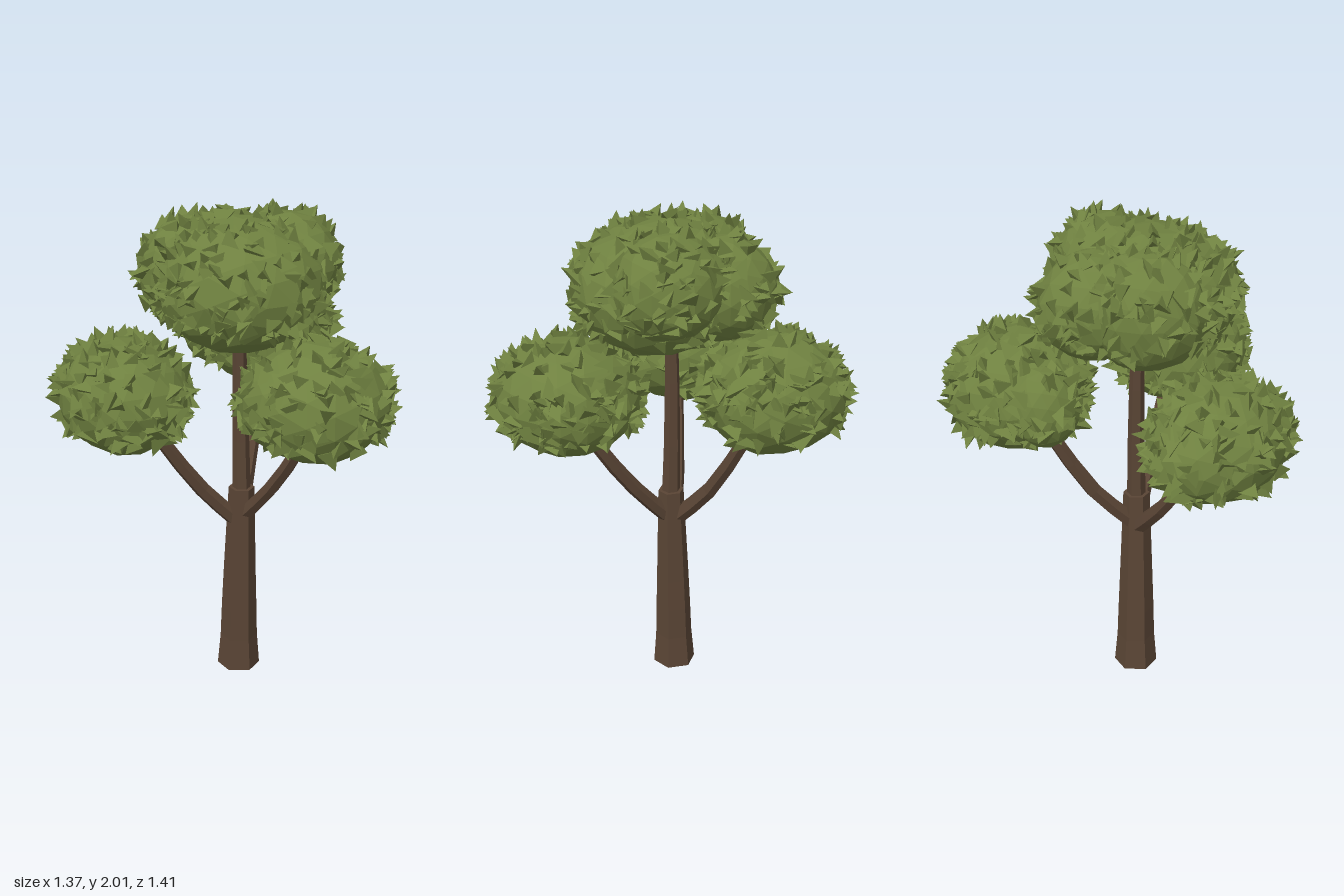
import * as THREE from 'three';
import { mergeGeometries } from 'three/addons/utils/BufferGeometryUtils.js';

// Small seeded random generator
function seeded(seed) {
  let s = seed;
  return () => {
    s = (s * 1664525 + 1013904223) % 4294967296;
    return s / 4294967296;
  };
}

const UP = new THREE.Vector3(0, 1, 0);

// Tapered limb: a capped cylinder bent along a curve
function limbGeometry(points, radii, sides, rows) {
  const curve = new THREE.CatmullRomCurve3(points.map((p) => new THREE.Vector3(...p)));
  const geo = new THREE.CylinderGeometry(1, 1, 1, sides, rows, false, Math.PI / 12);
  const pos = geo.attributes.position;
  const v = new THREE.Vector3();
  const q = new THREE.Quaternion();
  for (let i = 0; i < pos.count; i++) {
    v.fromBufferAttribute(pos, i);
    const t = THREE.MathUtils.clamp(v.y + 0.5, 0, 1);
    const f = t * (radii.length - 1);
    const k = Math.min(Math.floor(f), radii.length - 2);
    const r = THREE.MathUtils.lerp(radii[k], radii[k + 1], f - k);
    q.setFromUnitVectors(UP, curve.getTangent(t));
    v.set(v.x * r, 0, v.z * r).applyQuaternion(q).add(curve.getPoint(t));
    pos.setXYZ(i, v.x, v.y, v.z);
  }
  geo.computeVertexNormals();
  return geo;
}

// Faceted leaf mass: a lumpy ellipsoid covered in broad pointed leaves, bare underneath
function foliageGeometry({ radii, leaves, seed }) {
  const rnd = seeded(seed);
  const scale = new THREE.Vector3(...radii);
  const surface = (d) => {
    const lump = 1 + 0.03 * Math.sin(d.x * 4 + seed) * Math.cos(d.z * 4 + seed * 2);
    return d.clone().multiply(scale).multiplyScalar(lump);
  };

  const core = new THREE.IcosahedronGeometry(1, 2);
  const pos = core.attributes.position;
  const d = new THREE.Vector3();
  for (let i = 0; i < pos.count; i++) {
    const p = surface(d.fromBufferAttribute(pos, i).normalize());
    pos.setXYZ(i, p.x, p.y, p.z);
  }
  const parts = [core];

  const q = new THREE.Quaternion();
  const m = new THREE.Matrix4();
  for (let n = 0; n < leaves; n++) {
    const y = -0.55 + 1.53 * rnd();
    const a = rnd() * Math.PI * 2;
    const ring = Math.sqrt(1 - y * y);
    d.set(ring * Math.cos(a), y, ring * Math.sin(a));
    const base = surface(d).multiplyScalar(0.96);
    const tilt = new THREE.Vector3(rnd() - 0.5, rnd() - 0.5, rnd() - 0.5).multiplyScalar(1.7);
    const dir = d.clone().divide(scale).normalize().add(tilt).normalize();
    q.setFromUnitVectors(UP, dir);
    const w = 0.036 + 0.018 * rnd();
    const h = 0.05 + 0.035 * rnd();
    const leaf = new THREE.ConeGeometry(1, 1, 3, 1, false, rnd() * 6).toNonIndexed();
    leaf.translate(0, 0.3, 0);
    leaf.applyMatrix4(m.compose(base, q, new THREE.Vector3(w, h, w * 0.85)));
    parts.push(leaf);
  }
  const merged = mergeGeometries(parts);
  merged.computeVertexNormals();
  return merged;
}

export function createModel() {
  const tree = new THREE.Group();
  tree.name = 'tree';

  const bark = new THREE.MeshStandardMaterial({ color: 0x5a4535, flatShading: true });
  bark.name = 'bark brown';
  const leafGreen = new THREE.MeshStandardMaterial({ color: 0x6f8140, flatShading: true });
  leafGreen.name = 'leaf green';

  const add = (name, geo, mat) => {
    const mesh = new THREE.Mesh(geo, mat);
    mesh.name = name;
    tree.add(mesh);
    return mesh;
  };

  // Trunk, its thinner upper stem and the three branches
  const limbs = [
    ['trunk', [[-0.104, 0, 0.012], [-0.095, 0.41, 0.012], [-0.083, 0.82, 0.01]],
      [0.088, 0.077, 0.073, 0.068, 0.063, 0.058, 0.053], 6, 6],
    ['upperStem', [[-0.083, 0.78, 0.01], [-0.088, 1.15, 0.01], [-0.085, 1.6, 0.02]],
      [0.038, 0.032, 0.025], 6, 3],
    ['leftBranch', [[-0.08, 0.69, 0.01], [0.08, 0.86, 0.015], [0.24, 1.08, 0.03], [0.33, 1.25, 0.05]],
      [0.034, 0.03, 0.024], 6, 6],
    ['frontBranch', [[-0.1, 0.67, 0.02], [-0.18, 0.82, 0.14], [-0.26, 1.06, 0.29], [-0.31, 1.22, 0.37]],
      [0.036, 0.031, 0.024], 6, 6],
    ['backBranch', [[-0.1, 0.69, 0], [-0.18, 0.86, -0.14], [-0.25, 1.13, -0.29], [-0.29, 1.28, -0.36]],
      [0.036, 0.031, 0.024], 6, 6],
  ];
  for (const [name, points, radii, sides, rows] of limbs) {
    add(name, limbGeometry(points, radii, sides, rows), bark);
  }

  // Leaf masses: a large crown with three lobes, and one mass on each branch
  const masses = [
    { name: 'crownFoliage', at: [-0.045, 1.695, 0.055], radii: [0.345, 0.265, 0.34], leaves: 280, seed: 3 },
    { name: 'crownRightLobe', at: [-0.26, 1.715, 0.09], radii: [0.195, 0.23, 0.24], leaves: 110, seed: 8 },
    { name: 'crownBackLobe', at: [0.01, 1.755, -0.13], radii: [0.23, 0.21, 0.215], leaves: 110, seed: 21 },
    { name: 'crownInnerLobe', at: [-0.24, 1.705, -0.11], radii: [0.215, 0.21, 0.215], leaves: 100, seed: 30 },
    { name: 'leftFoliage', at: [0.347, 1.305, 0.06], radii: [0.292, 0.23, 0.29], yaw: 0.2, leaves: 220, seed: 5 },
    { name: 'frontFoliage', at: [-0.345, 1.265, 0.405], radii: [0.31, 0.225, 0.255], yaw: -0.4, leaves: 220, seed: 12 },
    { name: 'backFoliage', at: [-0.31, 1.36, -0.39], radii: [0.285, 0.235, 0.275], leaves: 220, seed: 17 },
    { name: 'backFoliageLobe', at: [-0.46, 1.37, -0.24], radii: [0.13, 0.16, 0.14], leaves: 50, seed: 26 },
  ];
  for (const mass of masses) {
    const mesh = add(mass.name, foliageGeometry(mass), leafGreen);
    mesh.position.set(...mass.at);
    mesh.rotation.y = mass.yaw ?? 0;
  }
  return tree;
}
